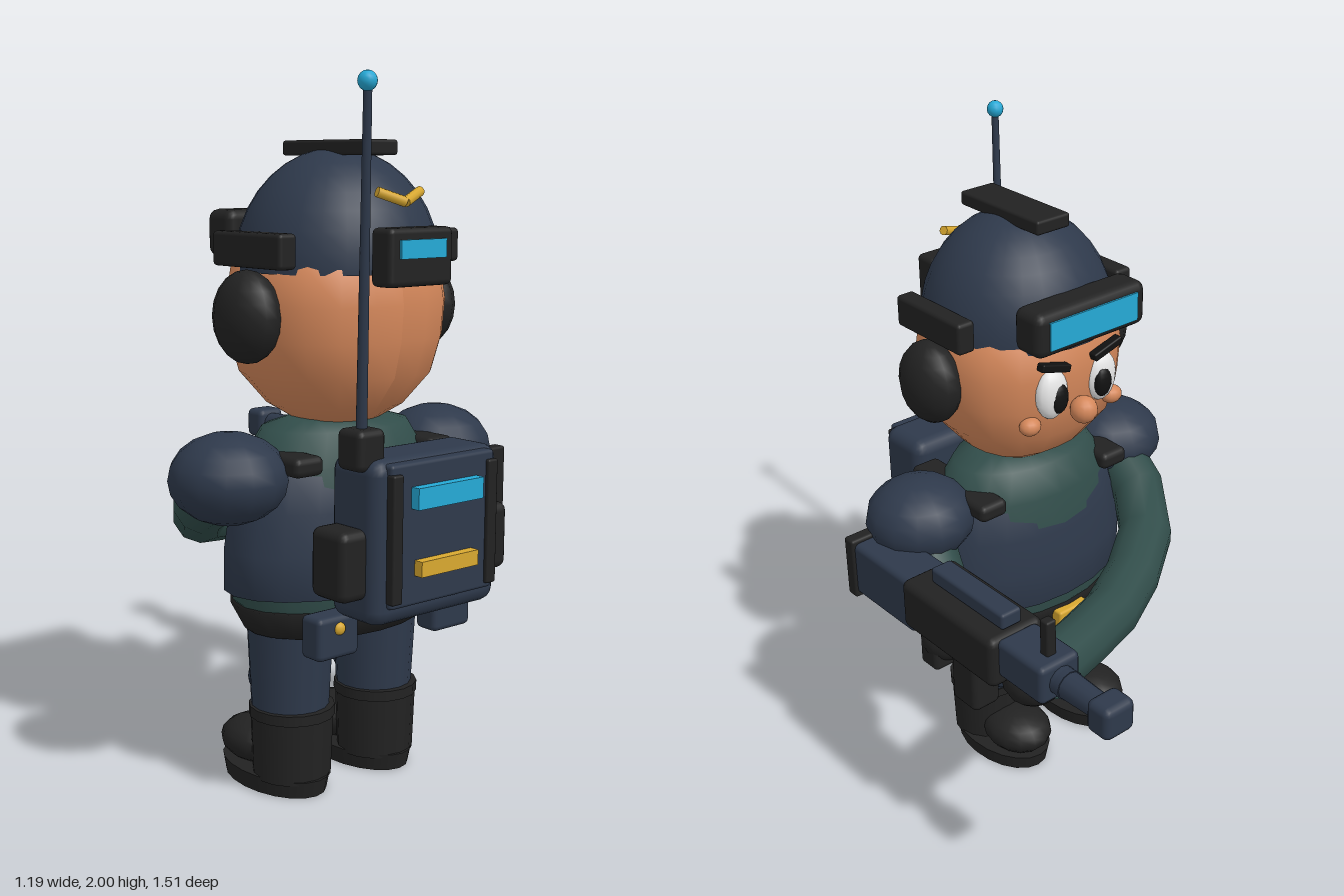
import * as THREE from 'three';
import { RoundedBoxGeometry } from 'three/addons/geometries/RoundedBoxGeometry.js';

const mat = (name, color, side = THREE.FrontSide) => {
  const m = new THREE.MeshStandardMaterial({ color, side });
  m.name = name;
  return m;
};

export function createModel() {
  const navy = mat('navy', 0x2e394b, THREE.DoubleSide), black = mat('black', 0x222222, THREE.DoubleSide);
  const teal = mat('teal', 0x314d4a, THREE.DoubleSide), skin = mat('skin', 0xd4875a);
  const cyan = mat('cyan', 0x25a9d6), gold = mat('gold', 0xd8a830);
  const white = mat('white', 0xeeeeee), pupilBlack = mat('pupil black', 0x111111);

  const root = new THREE.Group();
  root.name = 'soldier';
  const groups = {};
  for (const n of ['head', 'torso', 'legs', 'arms', 'backpack', 'rifle']) {
    groups[n] = new THREE.Group();
    groups[n].name = n;
    root.add(groups[n]);
  }
  const { head, torso, legs, arms, backpack, rifle } = groups;
  const CX = -0.04, CZ = 0.285; // body axis

  // Helpers
  const add = (g, name, geo, m, x = 0, y = 0, z = 0) => {
    const mesh = new THREE.Mesh(geo, m);
    mesh.name = name;
    mesh.position.set(x, y, z);
    g.add(mesh);
    return mesh;
  };
  const box = (g, name, m, x, y, z, w, h, d, r = 0.2) =>
    add(g, name, new RoundedBoxGeometry(w, h, d, 2, Math.min(w, h, d) * r), m, x, y, z);
  const plate = (g, name, m, x, y, z, w, h, d = 0.009) =>
    add(g, name, new THREE.BoxGeometry(w, h, d), m, x, y, z);
  const blob = (g, name, m, x, y, z, rx, ry, rz, seg = 14) =>
    add(g, name, new THREE.SphereGeometry(1, seg, Math.round(seg * 0.7)).scale(rx, ry, rz), m, x, y, z);
  const lathe = (g, name, m, pts, zScale, x = CX, z = CZ, seg = 20) =>
    add(g, name, new THREE.LatheGeometry(pts.map(p => new THREE.Vector2(...p)), seg).scale(1, 1, zScale), m, x, 0, z);
  const tube = (g, name, m, pts, r, seg) =>
    add(g, name, new THREE.TubeGeometry(
      new THREE.CatmullRomCurve3(pts.map(p => new THREE.Vector3(...p))), seg, r, 10), m);
  const rod = (g, name, m, a, b, r0, r1 = r0, seg = 10) => {
    const A = new THREE.Vector3(...a), B = new THREE.Vector3(...b), d = B.clone().sub(A);
    const mesh = add(g, name, new THREE.CylinderGeometry(r1, r0, d.length(), seg), m);
    mesh.position.copy(A).lerp(B, 0.5);
    mesh.quaternion.setFromUnitVectors(new THREE.Vector3(0, 1, 0), d.normalize());
    return mesh;
  };
  const both = fn => [-1, 1].forEach(s => fn(s, o => CX + s * o));

  // Head: a lathe squared off towards the cheeks
  const face = lathe(head, 'face', skin, [[0.001, 1.05], [0.1, 1.055], [0.19, 1.11], [0.265, 1.2],
    [0.292, 1.3], [0.3, 1.4], [0.285, 1.5], [0.2, 1.6]], 1, CX, CZ, 20);
  const p = face.geometry.attributes.position;
  for (let i = 0; i < p.count; i++) {
    const x = p.getX(i), z = p.getZ(i), r = Math.hypot(x, z);
    const k = r / Math.pow(Math.abs(x) ** 2.5 + Math.abs(z) ** 2.5, 1 / 2.5);
    p.setXYZ(i, x * k, p.getY(i), z * k * 0.92);
  }
  face.geometry.computeVertexNormals();
  blob(head, 'nose', skin, CX, 1.285, -0.01, 0.042, 0.042, 0.042);
  both((s, x) => {
    blob(head, 'cheek', skin, x(0.16), 1.262, 0.045, 0.035, 0.028, 0.03);
    blob(head, 'eye', white, x(0.095), 1.355, 0.025, 0.055, 0.08, 0.036);
    blob(head, 'pupil', pupilBlack, x(0.085), 1.345, 0.002, 0.032, 0.048, 0.02);
    box(head, 'eyebrow', pupilBlack, x(0.1), 1.447, 0.006, 0.11, 0.024, 0.03).rotation.z = s * 0.28;
    blob(head, 'earCup', black, x(0.325), 1.37, 0.295, 0.083, 0.127, 0.112);
    box(head, 'helmetSideRail', black, x(0.3), 1.548, 0.293, 0.06, 0.095, 0.295);
  });

  // Helmet and its fittings
  const dome = new THREE.SphereGeometry(1, 26, 9, 0, Math.PI * 2, 0, Math.PI / 2).scale(0.294, 0.335, 0.284);
  add(head, 'helmet', dome, navy, CX, 1.485, 0.288);
  add(head, 'helmetUnderside', new THREE.CylinderGeometry(0.29, 0.29, 0.01, 26).scale(1, 1, 0.97), navy, CX, 1.49, 0.288);
  box(head, 'helmetTopRail', black, CX, 1.818, 0.293, 0.122, 0.042, 0.35);
  box(head, 'goggles', black, CX, 1.58, 0.005, 0.41, 0.135, 0.115, 0.25);
  plate(head, 'goggleLens', cyan, CX, 1.58, -0.053, 0.33, 0.085);
  box(head, 'helmetRearBox', black, CX, 1.533, 0.59, 0.23, 0.155, 0.08);
  plate(head, 'helmetRearLight', cyan, CX, 1.555, 0.632, 0.165, 0.05);
  both((s, x) => rod(head, 'chevronArm', gold, [CX, 1.675, 0.562], [x(0.078), 1.702, 0.535], 0.014));

  // Torso: shirt, vest, belt
  lathe(torso, 'shirt', teal, [[0.001, 0.47], [0.25, 0.48], [0.335, 0.57], [0.33, 0.8], [0.3, 0.96],
    [0.24, 1.05], [0.15, 1.075], [0.001, 1.08]], 0.66);
  lathe(torso, 'vest', navy, [[0.32, 0.595], [0.365, 0.6], [0.365, 0.72], [0.345, 0.84], [0.315, 0.94],
    [0.28, 0.955]], 0.62);
  lathe(torso, 'belt', black, [[0.001, 0.475], [0.295, 0.48], [0.34, 0.56], [0.3, 0.562]], 0.68);
  box(torso, 'beltBuckle', gold, CX, 0.52, 0.052, 0.12, 0.08, 0.045);
  both((s, x) => {
    box(torso, 'shoulderStrap', black, x(0.245), 0.975, 0.29, 0.1, 0.055, 0.36, 0.35);
    box(torso, 'beltPouch', navy, x(0.215), 0.52, 0.515, 0.145, 0.12, 0.08);
    blob(torso, 'pouchButton', gold, x(0.215), 0.545, 0.555, 0.018, 0.018, 0.012, 10);
  });

  // Legs and boots
  both((s, x) => {
    const lx = x(0.162);
    rod(legs, 'leg', navy, [lx, 0.24, 0.28], [lx, 0.55, 0.28], 0.112, 0.128, 16);
    blob(legs, 'kneePad', navy, lx, 0.31, 0.18, 0.07, 0.066, 0.035);
    rod(legs, 'bootShaft', black, [lx, 0.04, 0.288], [lx, 0.23, 0.288], 0.113, 0.12, 16);
    rod(legs, 'bootCuff', black, [lx, 0.22, 0.288], [lx, 0.25, 0.288], 0.124, 0.124, 16);
    blob(legs, 'bootToe', black, lx, 0.1, 0.135, 0.105, 0.068, 0.125);
    add(legs, 'bootSole', new THREE.CylinderGeometry(0.122, 0.115, 0.05, 20).scale(1, 1, 1.62), black, lx, 0.025, 0.213);
  });

  // Arms: one reaches across to the barrel, the other holds the grip
  both((s, x) => blob(arms, 'shoulder', navy, x(0.39), 0.938, 0.295, 0.168, 0.127, 0.165));
  tube(arms, 'supportArm', teal, [[-0.42, 0.92, 0.28], [-0.355, 0.79, 0.04], [-0.03, 0.71, -0.19], [0.4, 0.73, -0.34]], 0.086, 6);
  blob(arms, 'supportGlove', black, 0.44, 0.735, -0.335, 0.088, 0.08, 0.09);
  tube(arms, 'triggerArm', teal, [[0.36, 0.92, 0.28], [0.39, 0.77, 0.16], [0.41, 0.72, 0.07], [0.45, 0.7, 0.03]], 0.088, 6);
  blob(arms, 'triggerGlove', black, 0.47, 0.7, 0.025, 0.078, 0.08, 0.07);

  // Backpack with radio
  box(backpack, 'pack', navy, CX, 0.8, 0.615, 0.46, 0.445, 0.19, 0.22);
  box(backpack, 'packPanel', navy, CX, 0.82, 0.7, 0.38, 0.385, 0.05);
  plate(backpack, 'packLight', cyan, CX, 0.92, 0.738, 0.24, 0.058, 0.03);
  plate(backpack, 'packStripe', gold, CX, 0.73, 0.738, 0.21, 0.042, 0.03);
  both((s, x) => {
    box(backpack, 'packStrap', black, x(0.175), 0.815, 0.722, 0.036, 0.345, 0.03);
    box(backpack, 'sidePouch', black, x(0.26), 0.745, 0.605, 0.1, 0.19, 0.135, 0.25);
  });
  box(backpack, 'radio', black, -0.245, 1.045, 0.623, 0.095, 0.11, 0.095);
  rod(backpack, 'antenna', navy, [-0.245, 1.09, 0.623], [-0.286, 1.97, 0.68], 0.015, 0.011, 8);
  blob(backpack, 'antennaTip', cyan, -0.287, 1.975, 0.68, 0.026, 0.026, 0.026, 12);

  // Rifle pointing to -z
  const GX = 0.495;
  box(rifle, 'buttPlate', black, GX, 0.82, 0.352, 0.165, 0.2, 0.044);
  box(rifle, 'stock', navy, GX, 0.82, 0.2, 0.148, 0.175, 0.3, 0.12);
  box(rifle, 'receiver', black, GX, 0.843, -0.135, 0.19, 0.16, 0.415, 0.15);
  box(rifle, 'topRail', navy, GX, 0.948, -0.158, 0.07, 0.05, 0.32);
  box(rifle, 'handguard', navy, GX, 0.86, -0.425, 0.14, 0.12, 0.19, 0.15);
  rod(rifle, 'barrel', navy, [GX, 0.86, -0.51], [GX, 0.86, -0.68], 0.043, 0.036, 12);
  rod(rifle, 'barrelCollar', navy, [GX, 0.86, -0.51], [GX, 0.86, -0.555], 0.04, 0.044, 12);
  box(rifle, 'muzzle', navy, GX, 0.86, -0.712, 0.104, 0.1, 0.086, 0.25);
  box(rifle, 'frontSight', black, GX, 0.97, -0.467, 0.033, 0.115, 0.033);
  box(rifle, 'magazine', black, GX, 0.68, -0.143, 0.095, 0.215, 0.112);
  box(rifle, 'grip', black, GX, 0.7, 0.03, 0.085, 0.18, 0.08);

  return root;
}
